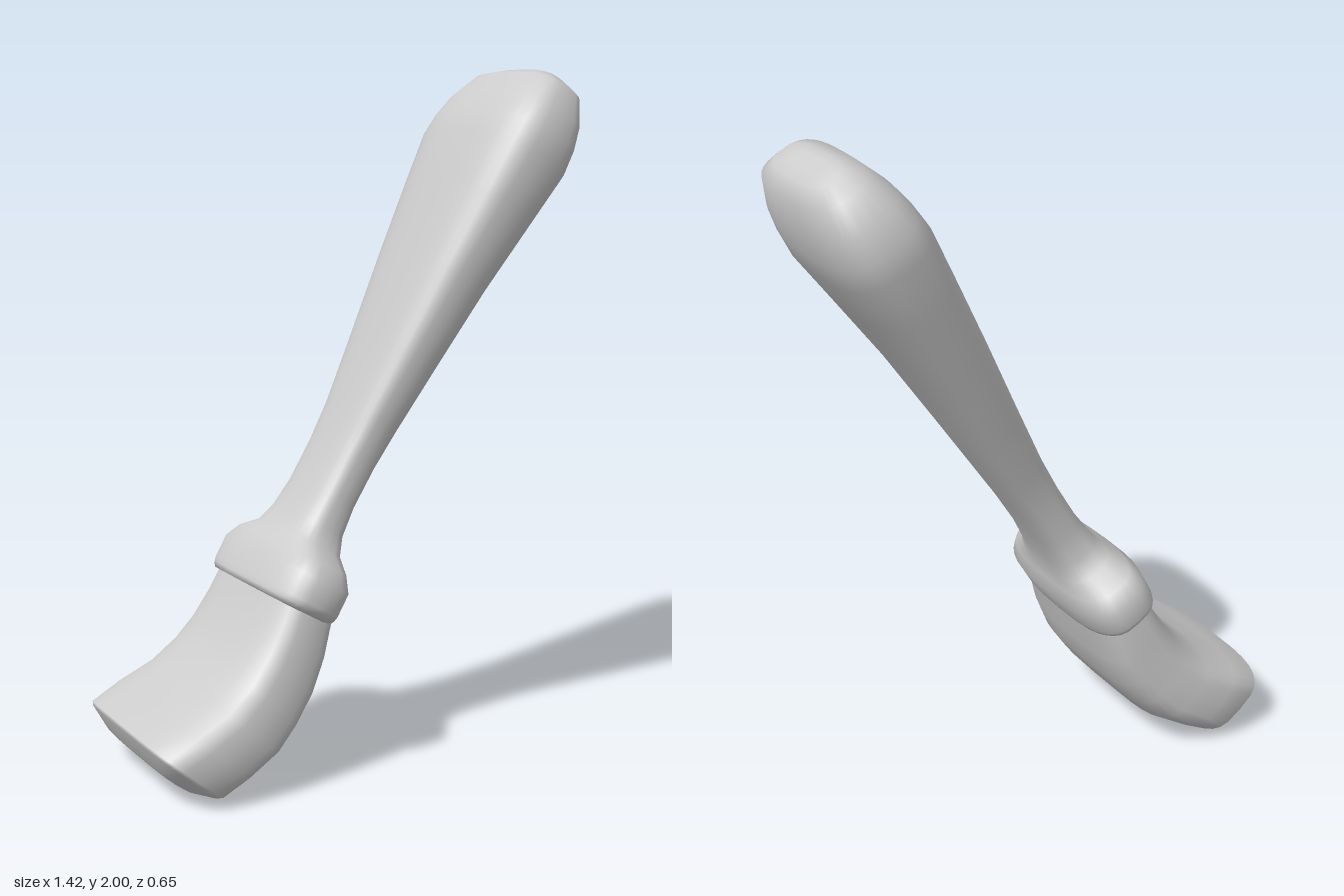
import * as THREE from 'three';

const SIDES = 32;

// Skin through cross-sections [ax, ay, bx, by, halfDepth]: a and b are the
// upper-left and lower-right edges, rounded off as a superellipse of power n.
function loft(sections, n) {
  const pos = [], index = [];
  const round = v => Math.sign(v) * Math.abs(v) ** (2 / n);
  for (const [ax, ay, bx, by, d] of sections) {
    for (let j = 0; j < SIDES; j++) {
      const t = (j / SIDES) * Math.PI * 2;
      const c = round(Math.cos(t)) / 2, s = round(Math.sin(t));
      pos.push((ax + bx) / 2 + c * (bx - ax), (ay + by) / 2 + c * (by - ay), s * d);
    }
  }
  const last = (sections.length - 1) * SIDES;
  for (let i = 0; i < sections.length - 1; i++) {
    for (let j = 0; j < SIDES; j++) {
      const k = (j + 1) % SIDES;
      const a = i * SIDES + j, b = i * SIDES + k;
      index.push(a, a + SIDES, b, b, a + SIDES, b + SIDES);
    }
  }
  // end caps
  for (const [start, flip] of [[0, false], [last, true]]) {
    const [ax, ay, bx, by] = sections[start / SIDES];
    const centre = pos.length / 3;
    pos.push((ax + bx) / 2, (ay + by) / 2, 0);
    for (let j = 0; j < SIDES; j++) {
      const p = start + j, q = start + (j + 1) % SIDES;
      index.push(centre, flip ? q : p, flip ? p : q);
    }
  }
  const geo = new THREE.BufferGeometry();
  geo.setAttribute('position', new THREE.Float32BufferAttribute(pos, 3));
  geo.setIndex(index);
  geo.computeVertexNormals();
  return geo;
}

// Section square to the tilted handle axis: distance along, left and right edge, half depth
function onAxis([s, l, r, d]) {
  const ux = 0.5, uy = 0.866, ox = -0.235, oy = 0.5;
  return [ox + ux * s + uy * l, oy + uy * s - ux * l, ox + ux * s + uy * r, oy + uy * s - ux * r, d];
}

export function createModel() {
  const group = new THREE.Group();
  const material = new THREE.MeshStandardMaterial({ color: 0xcccccc });
  const add = (name, geometry) => {
    const mesh = new THREE.Mesh(geometry, material);
    mesh.name = name;
    group.add(mesh);
  };

  // Handle with its flared collar, neck and swollen rounded end
  add('handle', loft([
    [0.0, -0.09, 0.09, 0.24],
    [0.0, -0.114, 0.118, 0.27],
    [0.015, -0.118, 0.122, 0.284],
    [0.03, -0.119, 0.123, 0.29],
    [0.1, -0.121, 0.124, 0.288],
    [0.145, -0.106, 0.102, 0.255],
    [0.185, -0.085, 0.09, 0.18],
    [0.24, -0.074, 0.08, 0.15],
    [0.33, -0.064, 0.074, 0.14],
    [0.46, -0.063, 0.078, 0.139],
    [0.585, -0.067, 0.086, 0.15],
    [0.8, -0.083, 0.099, 0.184],
    [1.06, -0.104, 0.116, 0.226],
    [1.3, -0.121, 0.143, 0.264],
    [1.46, -0.132, 0.162, 0.287],
    [1.53, -0.125, 0.158, 0.283],
    [1.6, -0.11, 0.147, 0.265],
    [1.685, -0.076, 0.118, 0.22],
    [1.718, -0.035, 0.076, 0.15],
    [1.72, -0.01, 0.04, 0.08],
  ].map(onAxis), 3));

  // Bristles sweeping down and aside, from the blunt tip up into the collar
  add('bristles', loft([
    [-0.66, 0.09, -0.59, 0.03, 0.18],
    [-0.675, 0.108, -0.567, 0.02, 0.235],
    [-0.71, 0.178, -0.505, 0.003, 0.305],
    [-0.708, 0.188, -0.487, 0.006, 0.322],
    [-0.62, 0.238, -0.41, 0.048, 0.325],
    [-0.52, 0.288, -0.317, 0.106, 0.314],
    [-0.445, 0.35, -0.255, 0.175, 0.3],
    [-0.393, 0.412, -0.2, 0.255, 0.287],
    [-0.345, 0.485, -0.16, 0.35, 0.276],
    [-0.312, 0.545, -0.135, 0.443, 0.266],
    [-0.295, 0.575, -0.12, 0.474, 0.26],
  ], 3.5));

  return group;
}
